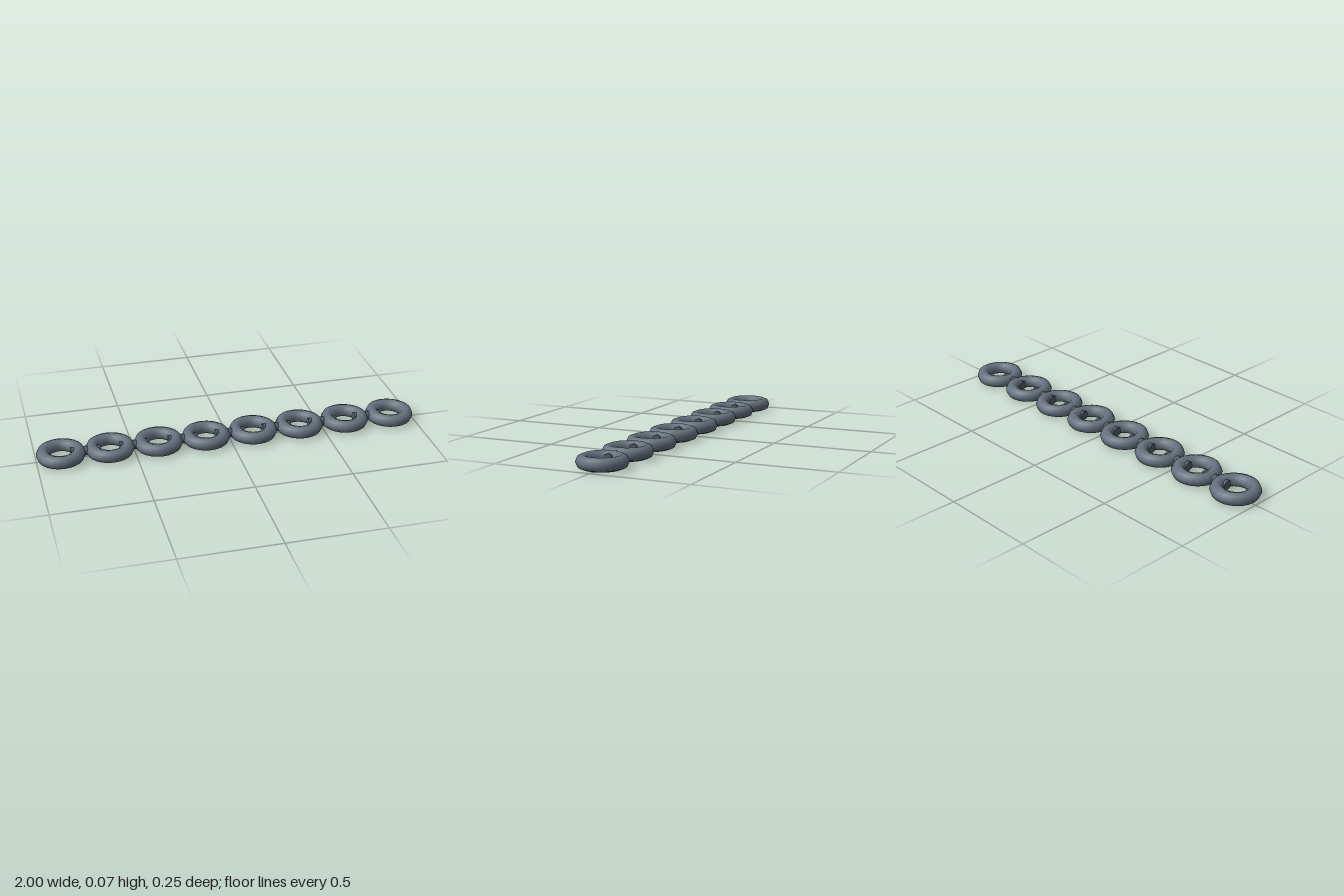
import * as THREE from 'three';

const COUNT = 8, SPACING = 0.25;
const RING_R = 0.0912, TUBE_R = 0.0338;

export function createModel() {
  const model = new THREE.Group();
  model.name = 'chain';
  const ringMat = new THREE.MeshStandardMaterial({ color: 0x66727f });
  const pinMat = new THREE.MeshStandardMaterial({ color: 0x525c67 });

  // Flat-lying rings with an eight-sided tube
  const ringGeo = new THREE.TorusGeometry(RING_R, TUBE_R, 8, 24).rotateX(Math.PI / 2);
  // Short pins that pass through the walls of neighbouring rings
  const pinGeo = new THREE.CylinderGeometry(0.025, 0.025, 0.15, 8).rotateZ(Math.PI / 2);

  const add = (name, geo, mat, x) => {
    const mesh = new THREE.Mesh(geo, mat);
    mesh.name = name;
    mesh.position.set(x, TUBE_R, 0);
    model.add(mesh);
  };

  for (let i = 0; i < COUNT; i++) {
    const x = (i - (COUNT - 1) / 2) * SPACING;
    add('ring' + (i + 1), ringGeo, ringMat, x);
    if (i < COUNT - 1) add('connectingPin' + (i + 1), pinGeo, pinMat, x + SPACING / 2);
  }
  return model;
}
